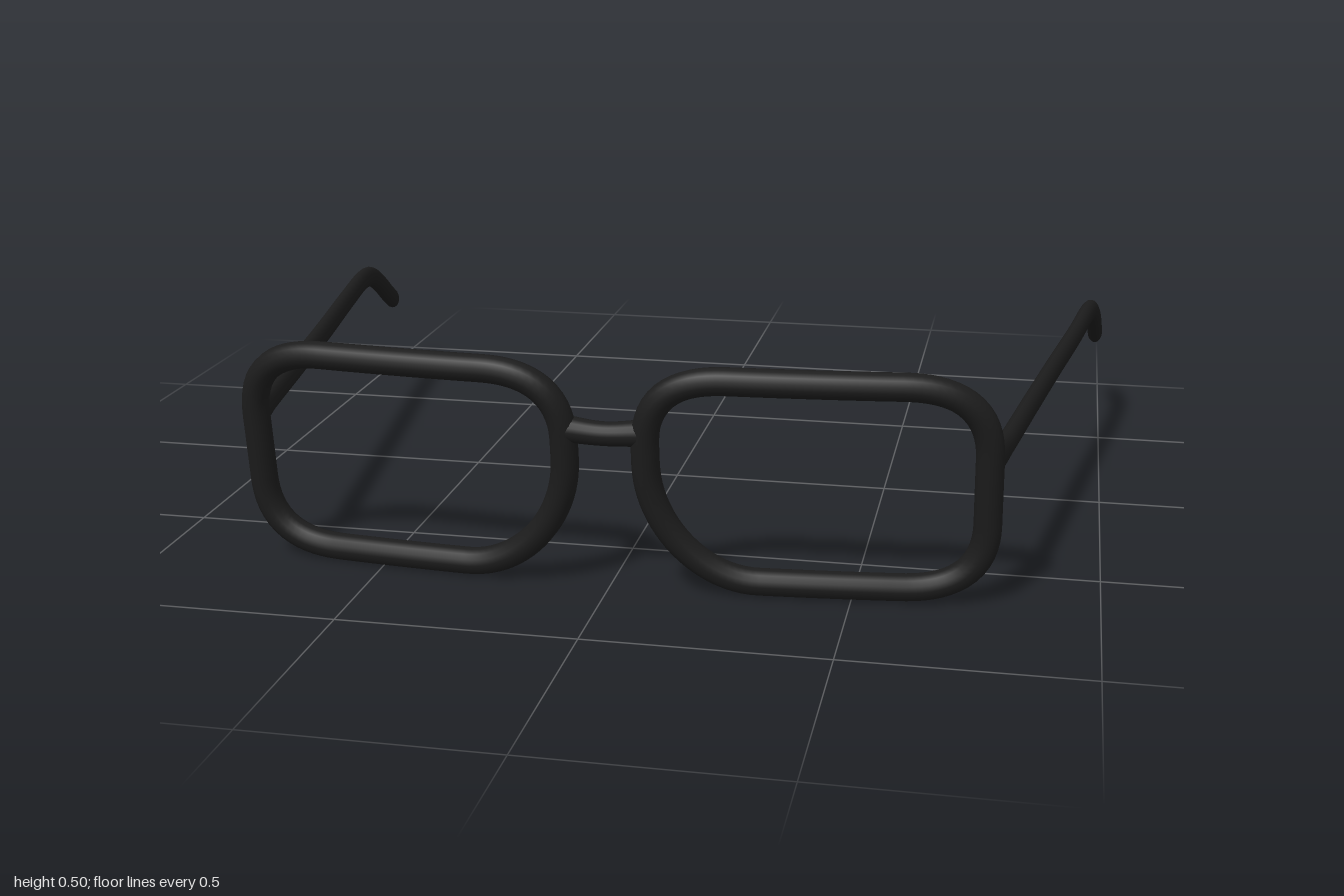
import * as THREE from 'three';

const RIM = 0.029;
const v = (x, y, z) => new THREE.Vector3(x, y, z);

// Front surface of the spectacles: wraps back at the sides, leans forward at the top
const frontZ = (x, y) => 0.75 - 0.1 * x * x + 0.15 * (y - 0.25);

// Centre line of one rim, seen from the front
function rimCurve(side) {
  const s = new THREE.Shape();
  let at;
  const line = (x, y) => { s.lineTo(x, y); at = [x, y]; };
  // Rounded corner pulled towards (cx, cy) by the amount k
  const corner = (cx, cy, x, y, k) => {
    const [ax, ay] = at;
    s.bezierCurveTo(ax + (cx - ax) * k, ay + (cy - ay) * k, x + (cx - x) * k, y + (cy - y) * k, x, y);
    at = [x, y];
  };
  s.moveTo(0.25, 0.478);
  line(0.6, 0.478);
  corner(0.768, 0.478, 0.768, 0.33, 0.66);
  line(0.768, 0.18);
  corner(0.768, 0.034, 0.6, 0.034, 0.66);
  line(0.31, 0.034);
  corner(0.084, 0.034, 0.084, 0.29, 0.53);
  line(0.084, 0.33);
  corner(0.084, 0.478, 0.25, 0.478, 0.66);
  const points = s.getSpacedPoints(72).slice(0, -1);
  return new THREE.CatmullRomCurve3(points.map(p => v(side * p.x, p.y, frontZ(p.x, p.y))), true);
}

// Sweeps an oval section along a curve; size(u) returns [half width, half height]
function sweepOval(curve, size, rings, sides = 16) {
  const pos = [], index = [];
  rings.forEach((u, i) => {
    const c = curve.getPointAt(u), t = curve.getTangentAt(u);
    const across = v(0, 1, 0).cross(t).normalize();
    const up = t.clone().cross(across);
    const [w, h] = size(u);
    for (let j = 0; j < sides; j++) {
      const a = (j / sides) * Math.PI * 2;
      const p = c.clone().addScaledVector(across, Math.cos(a) * w).addScaledVector(up, Math.sin(a) * h);
      pos.push(p.x, p.y, p.z);
      if (i === rings.length - 1) continue;
      const k = i * sides + j, n = i * sides + (j + 1) % sides;
      index.push(k, n, k + sides, n, n + sides, k + sides);
    }
  });
  const g = new THREE.BufferGeometry();
  g.setAttribute('position', new THREE.Float32BufferAttribute(pos, 3));
  g.setIndex(index);
  g.computeVertexNormals();
  return g;
}

export function createModel() {
  const model = new THREE.Group();
  model.name = 'spectacles';
  const black = new THREE.MeshStandardMaterial({ color: 0x1c1c1c });
  black.name = 'black plastic';
  const add = (geometry, name) => {
    const mesh = new THREE.Mesh(geometry, black);
    mesh.name = name;
    model.add(mesh);
  };

  // Temple rings, closer together at the rounded tip
  const rings = [...Array.from({ length: 49 }, (_, i) => i / 50), 0.975, 0.985, 0.993, 0.998, 1];
  const templeSize = u => {
    const flare = Math.max(0, 1 - u / 0.08);
    const tip = u > 0.97 ? Math.sqrt(Math.max(0, 1 - ((u - 0.97) / 0.03) ** 2)) : 1;
    return [0.019 * tip, (0.027 + 0.011 * flare) * tip];
  };

  for (const side of [1, -1]) {
    const label = side > 0 ? 'left' : 'right';
    add(new THREE.TubeGeometry(rimCurve(side), 120, RIM, 14, true), label + 'Rim');

    // Temple: straight arm splaying outwards, then bent down behind the ear
    const temple = new THREE.CatmullRomCurve3([
      v(0.772, 0.318, 0.7), v(0.79, 0.319, 0.6), v(0.835, 0.323, 0.3), v(0.881, 0.328, 0),
      v(0.926, 0.334, -0.28), v(0.953, 0.338, -0.47), v(0.964, 0.325, -0.56),
      v(0.973, 0.286, -0.65), v(0.979, 0.238, -0.73), v(0.983, 0.193, -0.808),
    ].map(p => p.setX(p.x * side)));
    add(sweepOval(temple, templeSize, rings), label + 'Temple');
  }

  // Bridge: short bar between the rims, thicker at its ends
  const bridge = new THREE.CatmullRomCurve3([
    v(-0.085, 0.357, 0.763), v(0, 0.351, 0.764), v(0.085, 0.357, 0.763),
  ]);
  add(sweepOval(bridge, u => {
    const r = 0.025 + 0.004 * (2 * u - 1) ** 2;
    return [r, r];
  }, Array.from({ length: 13 }, (_, i) => i / 12)), 'bridge');

  return model;
}
